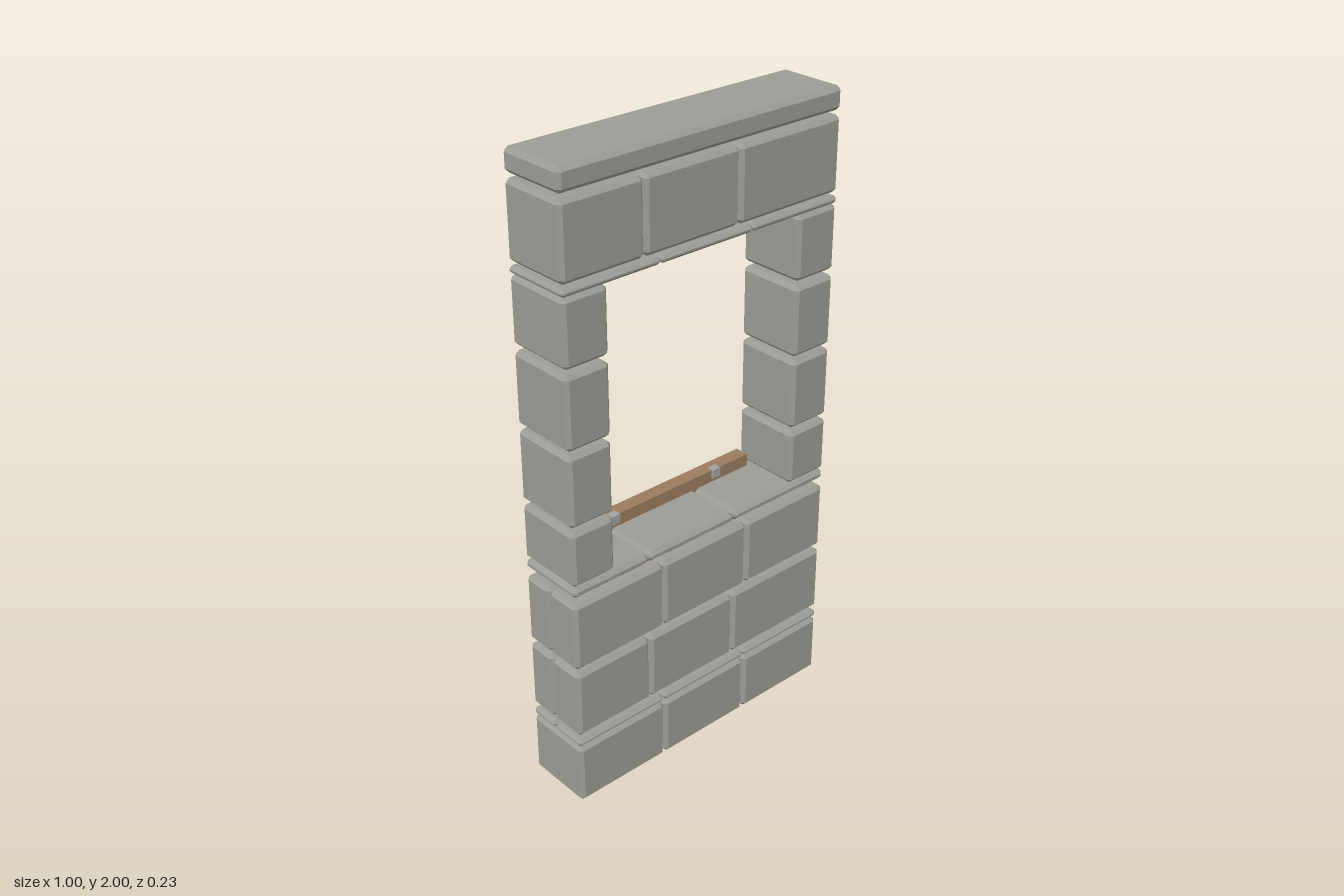
import * as THREE from 'three';
import { ConvexGeometry } from 'three/addons/geometries/ConvexGeometry.js';

const stone = new THREE.MeshStandardMaterial({ name: 'stone grey', color: 0x9d9b95 });
const wood = new THREE.MeshStandardMaterial({ name: 'wood brown', color: 0x9b7c5e });
const metal = new THREE.MeshStandardMaterial({ name: 'hinge grey', color: 0xa3a3a3 });

const BACK = -0.114, FRONT = 0.112, MID = -0.01;

// Box with flat chamfered edges and corners
function chamferedBox(w, h, d, bevel) {
  const b = Math.min(bevel, Math.min(w, h, d) * 0.4);
  const points = [];
  for (const sx of [-1, 1]) for (const sy of [-1, 1]) for (const sz of [-1, 1]) {
    const x = sx * w / 2, y = sy * h / 2, z = sz * d / 2;
    points.push(
      new THREE.Vector3(x, y - sy * b, z - sz * b),
      new THREE.Vector3(x - sx * b, y, z - sz * b),
      new THREE.Vector3(x - sx * b, y - sy * b, z));
  }
  return new ConvexGeometry(points);
}

export function createModel() {
  const model = new THREE.Group();
  model.name = 'windowWall';

  const place = (name, geometry, material, x0, x1, y0, y1, z0, z1) => {
    const mesh = new THREE.Mesh(geometry, material);
    mesh.name = name;
    mesh.position.set((x0 + x1) / 2, (y0 + y1) / 2, (z0 + z1) / 2);
    model.add(mesh);
  };
  const block = (name, x0, x1, y0, y1, z0 = BACK, z1 = FRONT) =>
    place(name, chamferedBox(x1 - x0, y1 - y0, z1 - z0, 0.013), stone, x0, x1, y0, y1, z0, z1);
  const board = (name, x0, x1, y0, y1, z0, z1, material = wood) =>
    place(name, new THREE.BoxGeometry(x1 - x0, y1 - y0, z1 - z0), material, x0, x1, y0, y1, z0, z1);

  // Courses of three blocks; the half-depth ones leave room for the shutter behind
  const splitA = [-0.5, -0.167, 0.167, 0.5];
  const splitB = [-0.5, -0.222, 0.114, 0.5];
  const courses = [
    ['baseBlock', 0.005, 0.205, splitA, false],
    ['lowerLedge', 0.207, 0.235, splitA, true],
    ['lowerBlock', 0.25, 0.477, splitB, true],
    ['upperBlock', 0.49, 0.717, splitA, true],
    ['sill', 0.74, 0.775, splitB, false],
    ['lintelLedge', 1.657, 1.68, splitA, false],
    ['lintelBlock', 1.69, 1.917, splitB, false],
  ];
  courses[0][1] = 0;
  for (const [name, y0, y1, xs, half] of courses) {
    for (let i = 0; i < 3; i++) block(name, xs[i], xs[i + 1], y0, y1, half ? MID : BACK, FRONT);
    if (half) {
      block(name + 'BackRight', -0.5, -0.275, y0, y1, BACK, MID);
      block(name + 'BackLeft', 0.275, 0.5, y0, y1, BACK, MID);
    }
  }
  block('capstone', -0.5, 0.5, 1.93, 2);

  // Pillars beside the opening
  for (const [y0, y1] of [[0.777, 0.957], [0.97, 1.198], [1.21, 1.437], [1.452, 1.656]]) {
    block('pillarBlockRight', -0.5, -0.348, y0, y1);
    block('pillarBlockLeft', 0.345, 0.5, y0, y1);
  }

  // Lowered wooden shutter: backing, stiles and four planks with open joints
  board('shutterBacking', -0.33, 0.33, 0.03, 0.76, -0.085, -0.065);
  for (const s of [-1, 1]) {
    const xs = [s * 0.237, s * 0.333].sort((a, b) => a - b);
    board('shutterStile', xs[0], xs[1], 0.03, 0.8, -0.11, -0.07);
  }
  const joints = [0.03, 0.293, 0.458, 0.623, 0.77];
  for (let i = 0; i < 4; i++)
    board('shutterPlank', -0.237, 0.237, joints[i] + 0.006, joints[i + 1] - (i < 3 ? 0.006 : 0), -0.108, -0.075);
  board('shutterTopRail', -0.337, 0.335, 0.765, 0.815, -0.111, -0.065);
  board('sillSupport', -0.33, 0.33, 0.716, 0.742, -0.1, 0.07);

  // Small catches on the top rail
  for (const x of [-0.203, 0.2])
    board('railCatch', x - 0.016, x + 0.016, 0.787, 0.8165, -0.085, -0.06, metal);

  return model;
}
